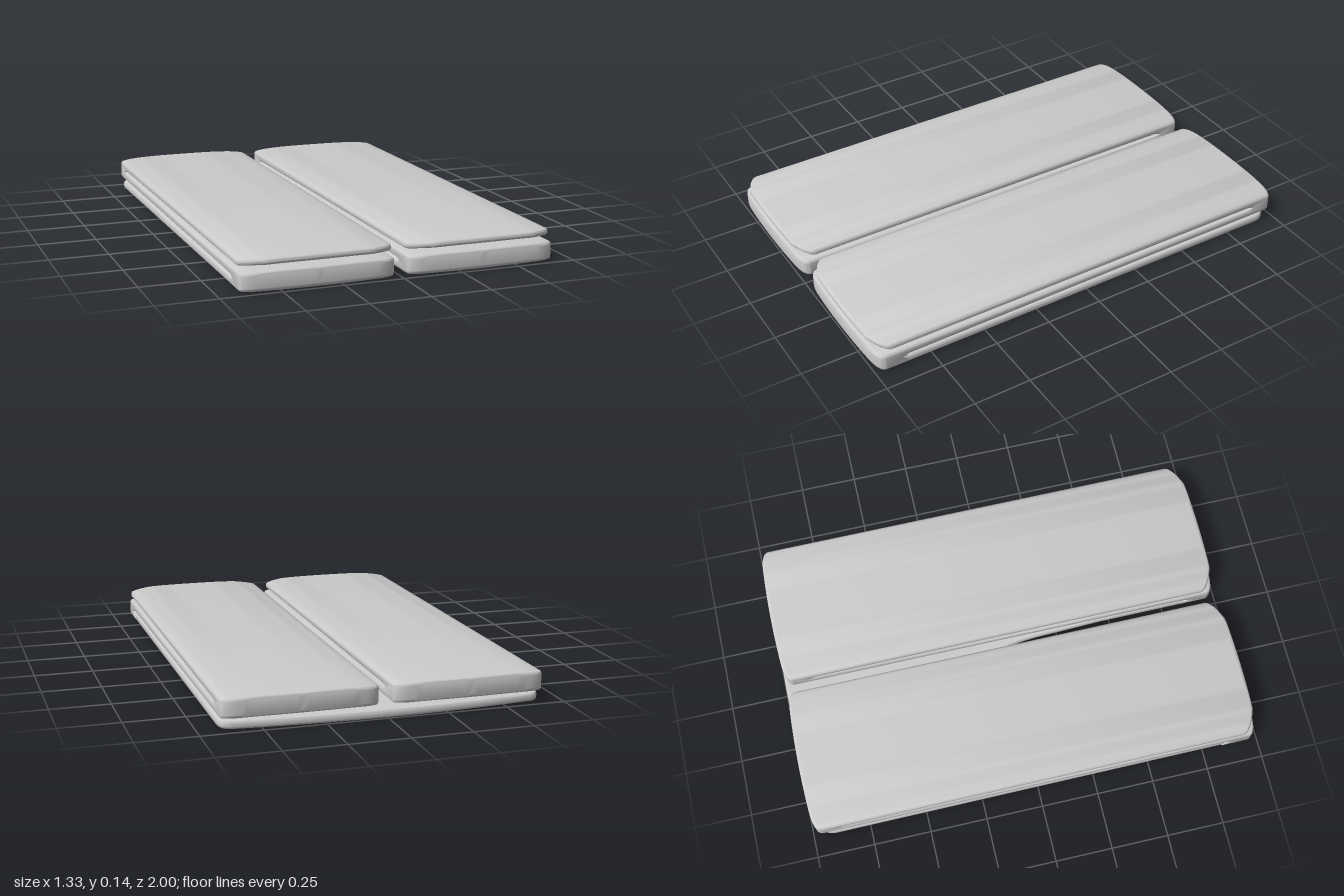
import * as THREE from 'three';
import { toCreasedNormals } from 'three/addons/utils/BufferGeometryUtils.js';

const HALF = 0.665;            // half of the whole width
const LEG_C = 0.3465;          // centre of one leg
const LEG_H = 0.3185;          // half width of one leg

// Zigzag side profile (z, y): front fold, middle layer, back fold, top layer
function legProfile() {
  const s = new THREE.Shape();
  s.moveTo(0.86, 0.01);
  s.lineTo(0.985, 0.007);
  s.quadraticCurveTo(1, 0.008, 1, 0.022);
  s.lineTo(1, 0.072);
  s.quadraticCurveTo(1, 0.086, 0.985, 0.087);
  s.lineTo(0.3, 0.087);
  s.lineTo(-0.88, 0.092);      // inside of the back fold
  s.lineTo(-0.9, 0.097);
  s.lineTo(-0.88, 0.102);
  s.lineTo(0.3, 0.108);
  s.lineTo(0.985, 0.109);
  s.quadraticCurveTo(1, 0.111, 1, 0.123);
  s.quadraticCurveTo(1, 0.136, 0.985, 0.138);
  s.lineTo(-0.985, 0.138);
  s.quadraticCurveTo(-1, 0.137, -1, 0.122);
  s.lineTo(-1, 0.068);
  s.quadraticCurveTo(-1, 0.053, -0.985, 0.052);
  s.lineTo(-0.3, 0.053);
  s.lineTo(0.88, 0.049);       // inside of the front fold
  s.lineTo(0.9, 0.044);
  s.lineTo(0.88, 0.036);
  s.closePath();
  return s;
}

function legGeometry() {
  const b = 0.011;
  const g = new THREE.ExtrudeGeometry(legProfile(), {
    depth: 2 * (LEG_H - b), steps: 28, curveSegments: 4,
    bevelEnabled: true, bevelThickness: b, bevelSize: b, bevelOffset: -b, bevelSegments: 3,
  });
  g.translate(0, 0, b - LEG_H);
  g.rotateY(-Math.PI / 2);
  // Bow the ends in plan, round the corners and crown the layers
  const p = g.attributes.position;
  for (let i = 0; i < p.count; i++) {
    const u = Math.min(1, Math.abs(p.getX(i)) / LEG_H);
    const y = p.getY(i), z = p.getZ(i);
    let pull = 0.012 * u * u + 0.022 * u ** 14;
    if (y > 0.1 && z > 0) pull += 0.1 * Math.max(0, u - 0.68);
    p.setZ(i, z * (1 - pull));
    p.setY(i, y * (1 - 0.08 * u ** 4));
  }
  return toCreasedNormals(g, 0.7);
}

// Bottom layer in plan (x, z): one sheet with a slit between the two legs
function panelGeometry() {
  const s = new THREE.Shape();
  s.moveTo(0, 0.015);
  s.quadraticCurveTo(0.018, 0.08, 0.021, 0.2);
  s.lineTo(0.029, 0.45);
  s.lineTo(0.03, 0.94);
  s.quadraticCurveTo(0.035, 0.965, 0.07, 0.972);
  s.quadraticCurveTo(LEG_C, 0.995, 0.6, 0.972);
  s.quadraticCurveTo(0.655, 0.965, 0.66, 0.93);
  s.lineTo(HALF, -0.9);
  s.quadraticCurveTo(0.663, -0.955, 0.62, -0.962);
  s.quadraticCurveTo(0.3, -0.998, 0, -0.998);
  s.quadraticCurveTo(-0.3, -0.998, -0.62, -0.962);
  s.quadraticCurveTo(-0.663, -0.955, -HALF, -0.9);
  s.lineTo(-0.66, 0.93);
  s.quadraticCurveTo(-0.655, 0.965, -0.6, 0.972);
  s.quadraticCurveTo(-LEG_C, 0.995, -0.07, 0.972);
  s.quadraticCurveTo(-0.035, 0.965, -0.03, 0.94);
  s.lineTo(-0.029, 0.45);
  s.lineTo(-0.021, 0.2);
  s.quadraticCurveTo(-0.018, 0.08, 0, 0.015);
  const t = 0.012;
  const g = new THREE.ExtrudeGeometry(s, {
    depth: t, curveSegments: 8, bevelEnabled: true,
    bevelThickness: t, bevelSize: t, bevelOffset: -t, bevelSegments: 3,
  });
  g.rotateX(Math.PI / 2);
  g.translate(0, 2 * t, 0);
  return toCreasedNormals(g, 0.7);
}

export function createModel() {
  const group = new THREE.Group();
  group.name = 'foldedTrousers';
  const cloth = new THREE.MeshStandardMaterial({ color: 0xcccccc, side: THREE.DoubleSide });

  const panel = new THREE.Mesh(panelGeometry(), cloth);
  panel.name = 'bottomLayer';
  group.add(panel);

  // Two matching folded legs
  const geometry = legGeometry();
  for (const [name, side] of [['leftLegFold', 1], ['rightLegFold', -1]]) {
    const leg = new THREE.Mesh(geometry, cloth);
    leg.name = name;
    leg.position.x = side * LEG_C;
    group.add(leg);
  }
  return group;
}
